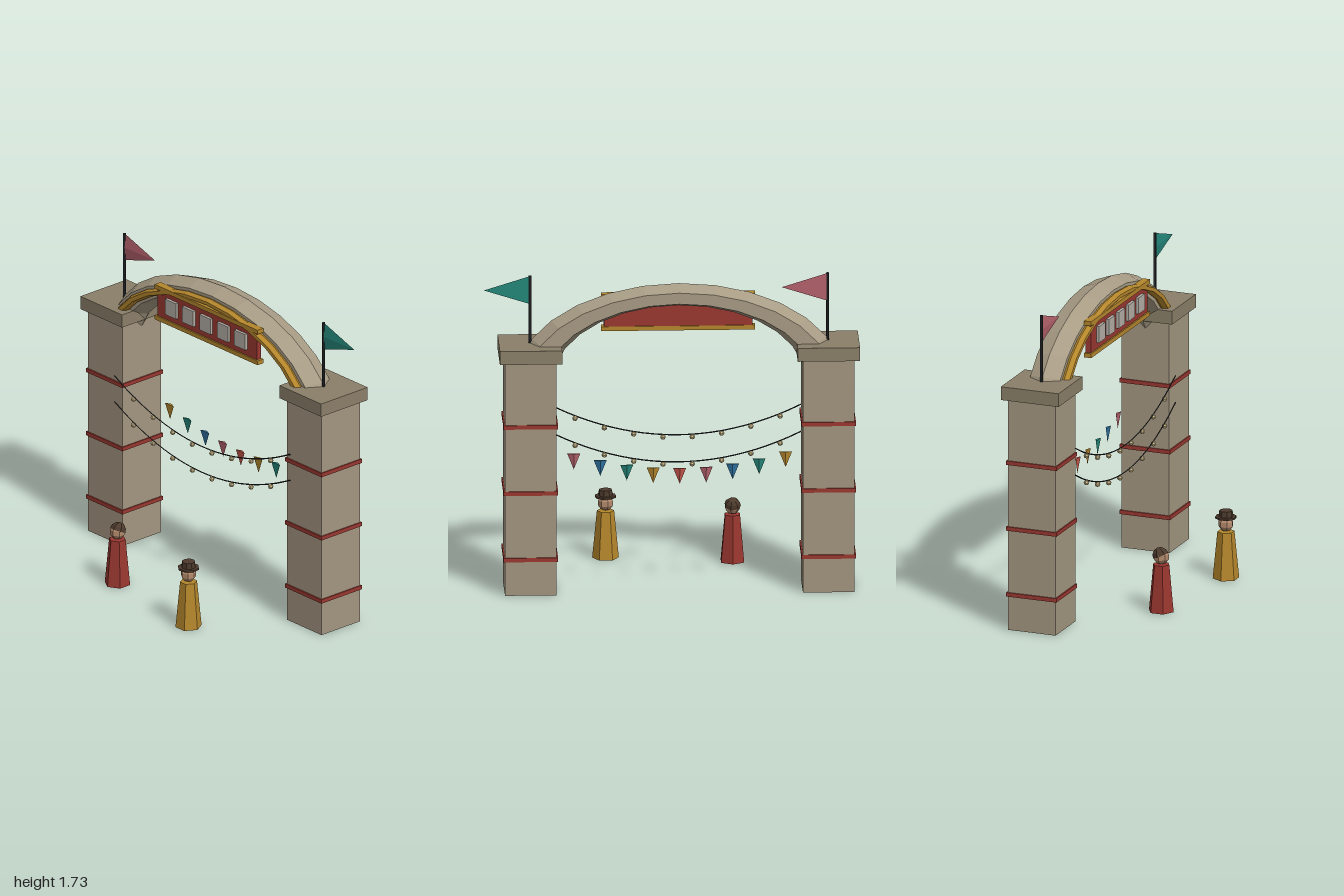
import * as THREE from 'three';

const mat = (color) => new THREE.MeshStandardMaterial({ color, flatShading: true, side: THREE.DoubleSide });
const M = {
  stone: mat(0xa39680), cap: mat(0x8a7f68), arch: mat(0xa89c85), red: mat(0x9a3730), ochre: mat(0xb5872c),
  teal: mat(0x24877a), pink: mat(0xb5626c), blue: mat(0x2f72a0), coral: mat(0xc4564a), panel: mat(0xb4afa6),
  dark: mat(0x26282a), bulb: mat(0xd0bd8c), skin: mat(0xb38a6c), brown: mat(0x4c3a2c),
};
const CX = -0.042, CZ = -0.24, HALF = 0.793; // gate centre and pillar offset

export function createModel() {
  const root = new THREE.Group();
  root.name = 'festivalGate';

  const add = (name, geo, material, x, y, z, parent = root) => {
    const m = new THREE.Mesh(geo, material);
    m.name = name;
    m.position.set(x, y, z);
    parent.add(m);
    return m;
  };
  const box = (name, w, h, d, material, x, y, z) =>
    add(name, new THREE.BoxGeometry(w, h, d), material, x, y, z);

  // Pillars with bands, caps, poles and flags
  for (const side of [-1, 1]) {
    const x = CX + side * HALF;
    box('pillar', 0.275, 1.29, 0.275, M.stone, x, 0.645, CZ);
    box('pillarCap', 0.332, 0.074, 0.332, M.cap, x, 1.323, CZ);
    for (const y of [0.198, 0.565, 0.932]) box('pillarBand', 0.29, 0.022, 0.29, M.red, x, y, CZ);
    add('flagPole', new THREE.CylinderGeometry(0.009, 0.009, 0.37, 6), M.dark, x, 1.545, CZ);
    const flag = new THREE.ConeGeometry(0.087, 0.24, 3).rotateZ(-Math.PI / 2).scale(1, 1, 0.06);
    add('flag', flag, side < 0 ? M.pink : M.teal, x + 0.125, 1.652, CZ);
  }

  // Flattened arch and its front trim
  const arc = (name, tube, material, z) =>
    add(name, new THREE.TorusGeometry(0.77, tube, 6, 14, Math.PI).scale(1, 0.61, 1), material, CX, 1.15, z);
  arc('arch', 0.1, M.arch, CZ);
  arc('archTrim', 0.03, M.ochre, -0.14);

  // Sign board with rails and blank panels
  box('signBoard', 0.79, 0.17, 0.03, M.red, CX, 1.495, -0.135);
  for (const y of [1.407, 1.586]) box('signRail', 0.82, 0.024, 0.042, M.ochre, CX, y, -0.133);
  for (let i = -2; i <= 2; i++) box('signPanel', 0.088, 0.09, 0.016, M.panel, CX + i * 0.138, 1.5, -0.112);

  // Sagging light strings
  for (const low of [0.797, 0.647]) {
    const sag = (dx) => low + 0.183 * (dx / 0.7) ** 2;
    const pts = [];
    for (let i = -6; i <= 6; i++) pts.push(new THREE.Vector3((i / 6) * 0.7, sag((i / 6) * 0.7), 0));
    const wire = new THREE.TubeGeometry(new THREE.CatmullRomCurve3(pts), 24, 0.0035, 4);
    add('lightWire', wire, M.dark, CX, 0, -0.084);
    for (let i = -7; i <= 7; i += 2) {
      const dx = i * 0.078;
      add('lightBulb', new THREE.SphereGeometry(0.015, 6, 4), M.bulb, CX + dx, sag(dx) - 0.014, -0.084);
    }
  }

  // Row of hanging pennants at the back
  const colours = [M.ochre, M.teal, M.blue, M.pink, M.coral];
  const order = [0, 1, 2, 3, 4, 0, 1, 2, 3];
  order.forEach((c, i) => {
    const dx = (i - 4) * 0.141;
    const geo = new THREE.ConeGeometry(0.04, 0.085, 3).rotateX(Math.PI).scale(1, 1, 0.27);
    add('pennant', geo, colours[c], CX + dx, 0.648 + 0.086 * (dx / 0.564) ** 2, -0.361);
  });

  // Visitors: tapered robe and round head
  const visitor = (name, robe, x, z, turn) => {
    const g = new THREE.Group();
    g.name = name;
    g.position.set(x, 0, z);
    g.rotation.y = turn;
    root.add(g);
    add('robe', new THREE.CylinderGeometry(0.046, 0.071, 0.26, 6), robe, 0, 0.13, 0, g);
    add('head', new THREE.SphereGeometry(0.043, 7, 5), M.skin, 0, 0.303, 0, g);
    return g;
  };
  const first = visitor('visitorWithHair', M.red, -0.347, 0.248, 0);
  const hair = new THREE.SphereGeometry(0.045, 7, 3, 0, Math.PI * 2, 0, Math.PI / 2);
  add('hair', hair, M.brown, 0, 0.308, -0.004, first).rotation.x = -0.4;
  const second = visitor('visitorWithHat', M.ochre, 0.325, 0.343, Math.PI / 6);
  add('hatBrim', new THREE.CylinderGeometry(0.058, 0.058, 0.01, 8), M.brown, 0, 0.339, 0, second);
  add('hatCrown', new THREE.CylinderGeometry(0.036, 0.039, 0.034, 8), M.brown, 0, 0.359, 0, second);

  return root;
}
